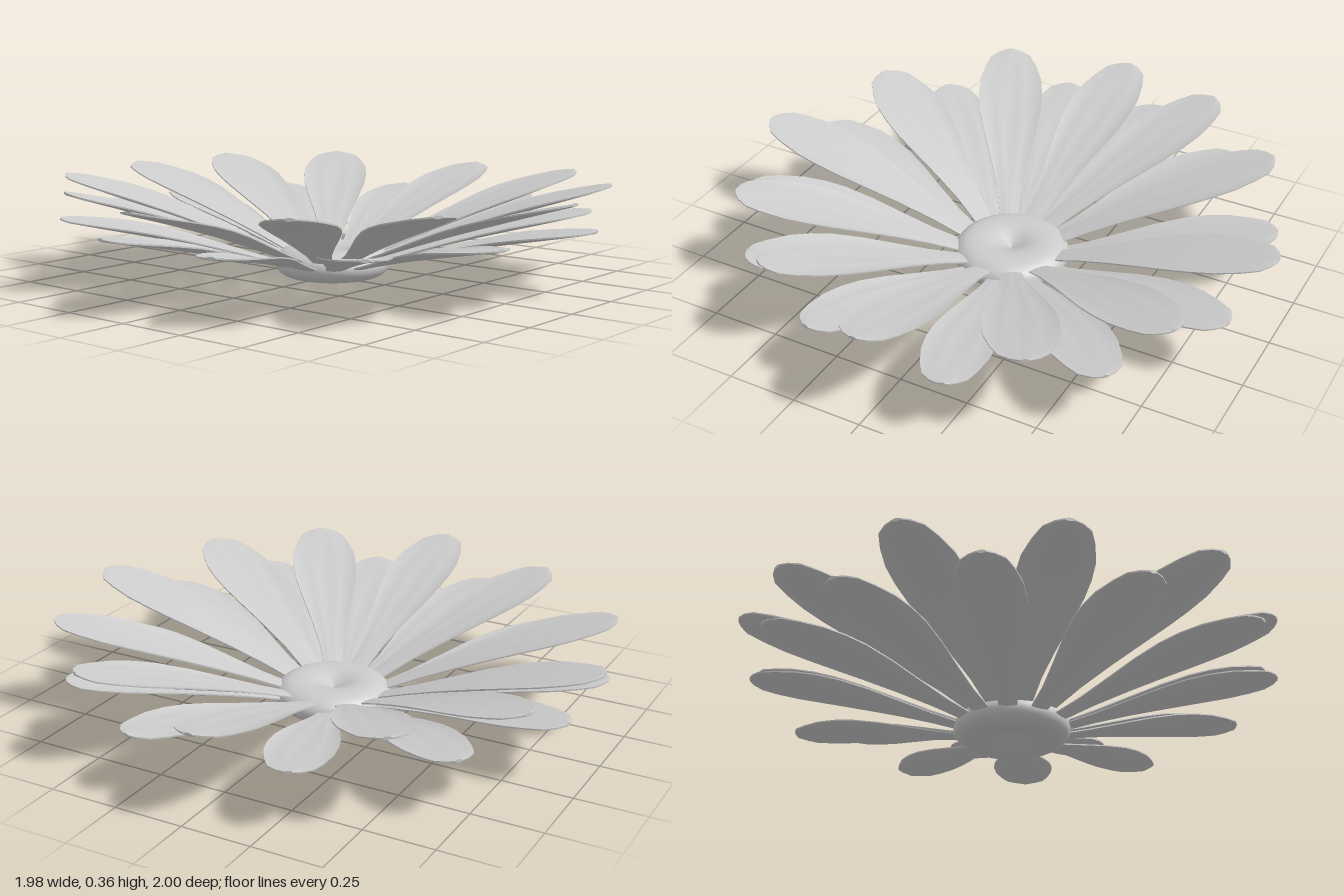
import * as THREE from 'three';

const material = new THREE.MeshStandardMaterial({ color: 0xcccccc });

// Half-width along the petal: [fraction of length, fraction of widest half-width]
const OUTLINE = [[0, 0.26], [0.15, 0.36], [0.3, 0.56], [0.45, 0.79], [0.58, 0.95], [0.68, 1],
  [0.78, 0.97], [0.88, 0.81], [0.95, 0.63], [0.985, 0.36], [1, 0.12]];

// A thin, slightly cupped petal pointing along +z, rising from baseY to tipY
function petalGeometry(length, halfWidth, baseY, tipY) {
  const start = 0.17, rows = OUTLINE.length - 1;
  const geo = new THREE.BoxGeometry(2, 1, rows, 8, 1, rows);
  const pos = geo.attributes.position;
  for (let i = 0; i < pos.count; i++) {
    const u = pos.getX(i), side = pos.getY(i);
    const [t, w] = OUTLINE[Math.round(pos.getZ(i) + rows / 2)];
    const cup = 0.012 * w * u * u - 0.004 * w * Math.cos(u * Math.PI * 3);
    const arch = 0.012 * Math.sin(t * Math.PI);
    const thickness = 0.012 * (1 - 0.6 * u * u);
    pos.setXYZ(i, u * w * halfWidth,
      THREE.MathUtils.lerp(baseY, tipY, t) + arch + cup * Math.sin(t * Math.PI) + side * thickness,
      THREE.MathUtils.lerp(start, length, t));
  }
  geo.computeVertexNormals();
  return geo;
}

// One ring of petals; each entry is [degrees clockwise from the back, reach, tip height]
function petalRing(name, petals, halfWidth, baseY) {
  const ring = new THREE.Group();
  ring.name = name;
  petals.forEach(([deg, reach, tipY], i) => {
    const petal = new THREE.Mesh(petalGeometry(reach, halfWidth, baseY, tipY), material);
    petal.name = `${name}Petal${i + 1}`;
    petal.rotation.y = Math.PI - THREE.MathUtils.degToRad(deg);
    ring.add(petal);
  });
  return ring;
}

export function createModel() {
  const flower = new THREE.Group();
  flower.name = 'flower';

  // Round centre, dimpled above and below
  const profile = new THREE.SplineCurve([
    [0, 0.04], [0.03, 0.025], [0.075, 0.006], [0.12, 0], [0.165, 0.006], [0.197, 0.027], [0.208, 0.055],
    [0.197, 0.083], [0.165, 0.104], [0.12, 0.11], [0.075, 0.104], [0.03, 0.085], [0, 0.07],
  ].map(([x, y]) => new THREE.Vector2(x, y))).getPoints(48);
  profile.forEach((p) => { p.x = Math.max(p.x, 0); p.y = Math.max(p.y, 0); });
  const centre = new THREE.Mesh(new THREE.LatheGeometry(profile, 48), material);
  centre.name = 'centre';
  centre.position.set(0.015, 0, 0.005);
  flower.add(centre);

  // Upper ring: longer, steeper petals
  flower.add(petalRing('upper', [
    [1, 1, 0.34], [25, 0.99, 0.345], [52.5, 0.97, 0.345], [88, 0.99, 0.32],
    [121, 0.98, 0.345], [149, 0.99, 0.35], [180, 1, 0.35], [210.5, 0.95, 0.35],
    [237.5, 0.95, 0.35], [268.5, 0.99, 0.345], [300.5, 0.94, 0.345], [332.5, 0.99, 0.345],
  ], 0.125, 0.078));

  // Lower ring: shorter, flatter petals in the gaps
  flower.add(petalRing('lower', [
    [11, 0.96, 0.22], [38, 0.94, 0.22], [70, 0.95, 0.22], [105, 0.96, 0.225],
    [134, 0.96, 0.225], [164, 0.97, 0.225], [196, 0.93, 0.225], [224, 0.94, 0.225],
    [252, 0.96, 0.225], [283, 0.92, 0.225], [317, 0.95, 0.22], [347, 0.965, 0.22],
  ], 0.115, 0.052));

  return flower;
}
